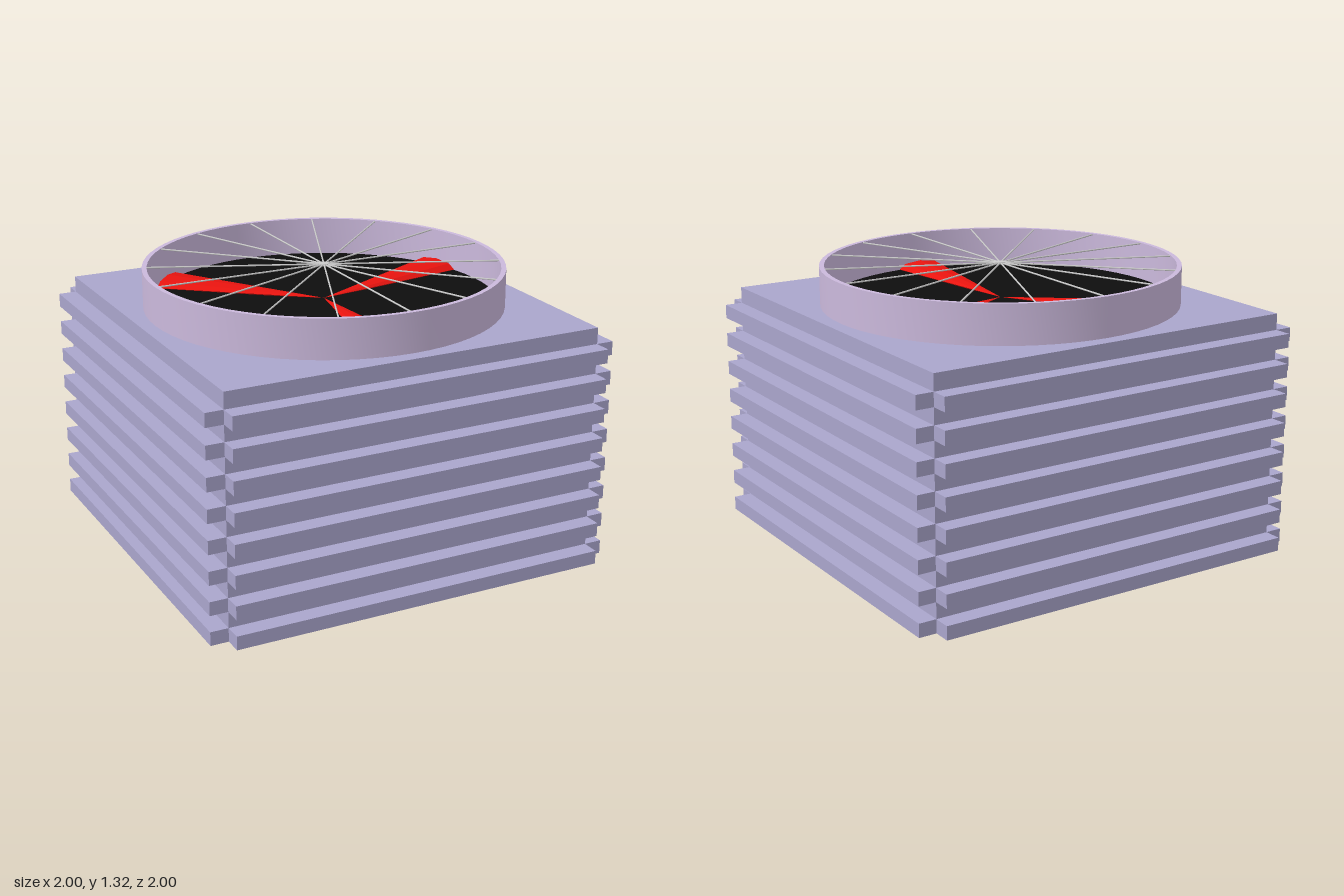
import * as THREE from 'three';
import { toCreasedNormals } from 'three/addons/utils/BufferGeometryUtils.js';

const BODY_TOP = 1.135, RIM_TOP = 1.32, HALF = 0.915;
const paint = (color, extra = {}) => new THREE.MeshStandardMaterial({ color, ...extra });

export function createModel() {
  const model = new THREE.Group();
  const add = (name, geometry, material, x = 0, y = 0, z = 0, parent = model) => {
    const mesh = new THREE.Mesh(geometry, material);
    mesh.name = name;
    mesh.position.set(x, y, z);
    parent.add(mesh);
    return mesh;
  };
  const lilac = paint(0xaaa5cc), pink = paint(0xcbb9dc), grey = paint(0xcccccc);
  const black = paint(0x0d0d0d), red = paint(0xe8140f, { flatShading: true });

  // Square housing
  add('housing', new THREE.BoxGeometry(HALF * 2, BODY_TOP, HALF * 2), lilac, 0, BODY_TOP / 2, 0);

  // Eight slats on each of the four sides, leaving the corners notched
  const slatGeometry = new THREE.BoxGeometry(HALF * 2, 0.065, 1 - HALF);
  for (let side = 0; side < 4; side++) {
    const slats = new THREE.Group();
    slats.name = 'sideSlats';
    slats.rotation.y = side * Math.PI / 2;
    model.add(slats);
    for (let i = 0; i < 8; i++) {
      add('slat', slatGeometry, lilac, 0, 0.0325 + i * 0.1418, (1 + HALF) / 2, slats);
    }
  }

  // Open fan collar
  const profile = [[0.848, BODY_TOP], [0.848, RIM_TOP], [0.825, RIM_TOP], [0.825, BODY_TOP]]
    .map(([r, y]) => new THREE.Vector2(r, y));
  add('fanCollar', toCreasedNormals(new THREE.LatheGeometry(profile, 64), 0.6), pink);

  // Dark opening at the bottom of the collar
  add('fanOpening', new THREE.CylinderGeometry(0.826, 0.826, 0.008, 64), black, 0, BODY_TOP, 0);

  // Three flattened, tapered blades
  const length = 0.815;
  const bladeGeometry = new THREE.ConeGeometry(1, length, 8)
    .rotateZ(Math.PI / 2)
    .translate(length / 2, 0, 0)
    .scale(1, 0.035, 0.118);
  for (const degrees of [19.4, 132, 267.3]) {
    const blade = add('fanBlade', bladeGeometry, red, 0, 1.15, 0);
    blade.rotation.set(0, THREE.MathUtils.degToRad(degrees), -0.01);
  }

  // Guard of thin spokes with a small hub
  const spokeGeometry = new THREE.CylinderGeometry(0.004, 0.004, 1.66, 6).rotateZ(Math.PI / 2);
  for (let i = 0; i < 8; i++) {
    add('guardSpoke', spokeGeometry, grey, 0, RIM_TOP - 0.005, 0).rotation.y = i * Math.PI / 8;
  }
  add('guardHub', new THREE.CylinderGeometry(0.025, 0.025, 0.01, 16), grey, 0, RIM_TOP - 0.005, 0);

  return model;
}
